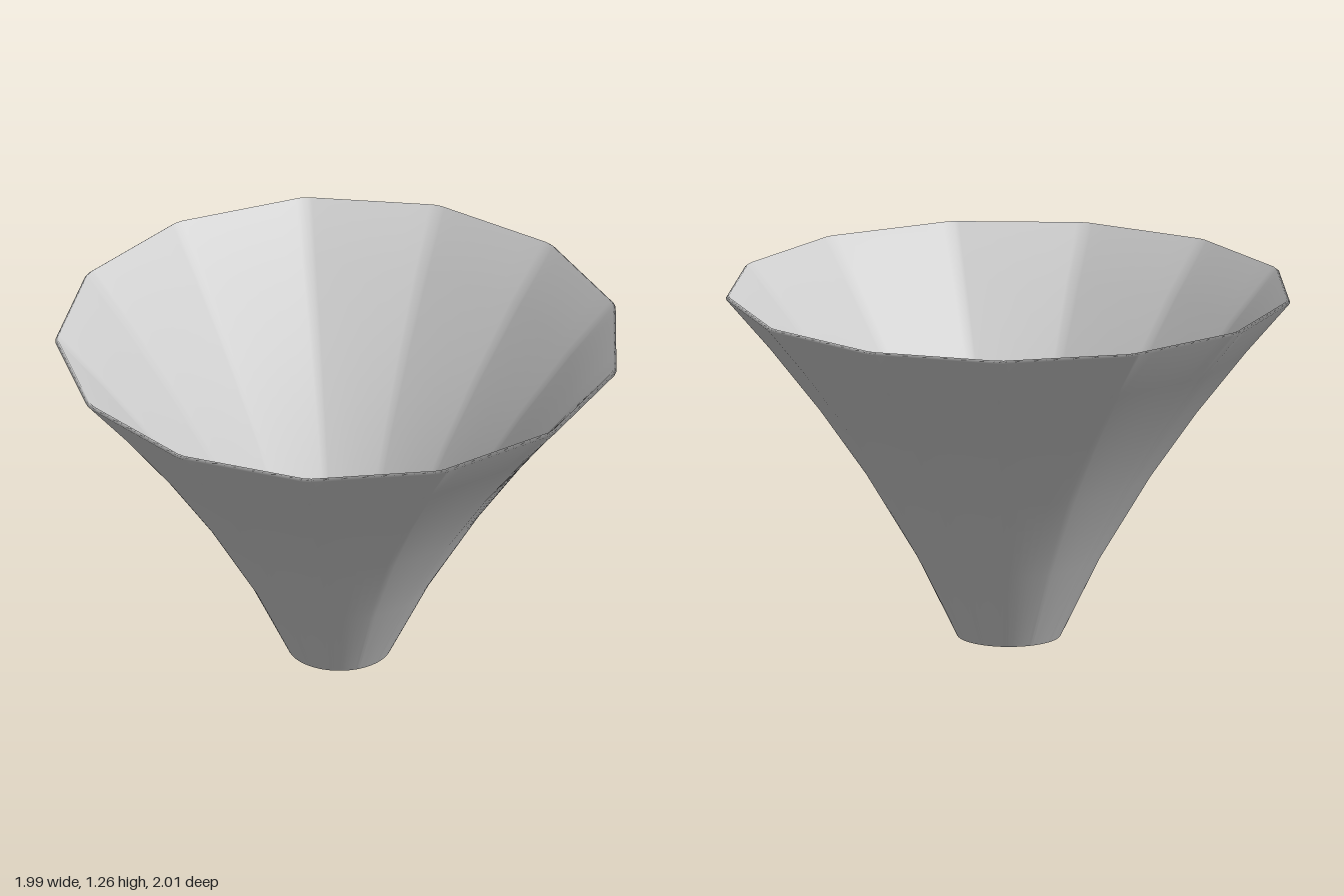
import * as THREE from 'three';

const SIDES = 13;
const SECTOR = (Math.PI * 2) / SIDES;
const APOTHEM = Math.cos(SECTOR / 2);
const CENTER_X = -0.015;

// Wall profile: height of each ring; the radius flares with height
const HEIGHTS = [0, 0.29, 0.6, 0.84, 1.07, 1.253];
const flare = (y) => 0.185 + 0.436 * y + 0.1795 * y * y;

// Angles around one ring: dense beside each corner so it reads slightly rounded
const STEPS = [0.03, 0.06, 0.2, 0.35, 0.5, 0.65, 0.8, 0.94, 0.97];
const angles = [];
for (let s = 0; s < SIDES; s++) for (const f of STEPS) angles.push((s + f) * SECTOR);

// Distance to a regular polygon of corner radius 1
function polygon(angle) {
  const local = (angle % SECTOR) - SECTOR / 2;
  return APOTHEM / Math.cos(local);
}

function createWall() {
  // Outer wall upwards, then the inner wall back down, forming a closed loop
  const rows = HEIGHTS.map((y) => ({ r: flare(y), y, t: y / 1.253 }));
  const inner = rows.map(({ r, y, t }) => ({
    r: r - (y === 0 ? 0.014 : 0.011), y: y === 0 ? 0 : y + 0.009, t,
  }));
  const loop = [...rows, ...inner.reverse()];

  const positions = [];
  const indices = [];
  const n = angles.length;
  loop.forEach(({ r, y, t }, j) => {
    const blend = Math.pow(t, 0.6); // round at the bottom, polygonal at the rim
    const next = (j + 1) % loop.length;
    angles.forEach((a, i) => {
      const d = r * (1 + blend * (polygon(a) - 1));
      positions.push(CENTER_X + d * Math.cos(a), y, d * Math.sin(a));
      const k = (i + 1) % n;
      indices.push(j * n + i, next * n + i, j * n + k);
      indices.push(next * n + i, next * n + k, j * n + k);
    });
  });

  const geometry = new THREE.BufferGeometry();
  geometry.setAttribute('position', new THREE.Float32BufferAttribute(positions, 3));
  geometry.setIndex(indices);
  geometry.computeVertexNormals();
  return geometry;
}

export function createModel() {
  const group = new THREE.Group();
  group.name = 'funnel';
  const material = new THREE.MeshStandardMaterial({ color: 0xcccccc, side: THREE.DoubleSide });
  const wall = new THREE.Mesh(createWall(), material);
  wall.name = 'funnelWall';
  group.add(wall);
  return group;
}
